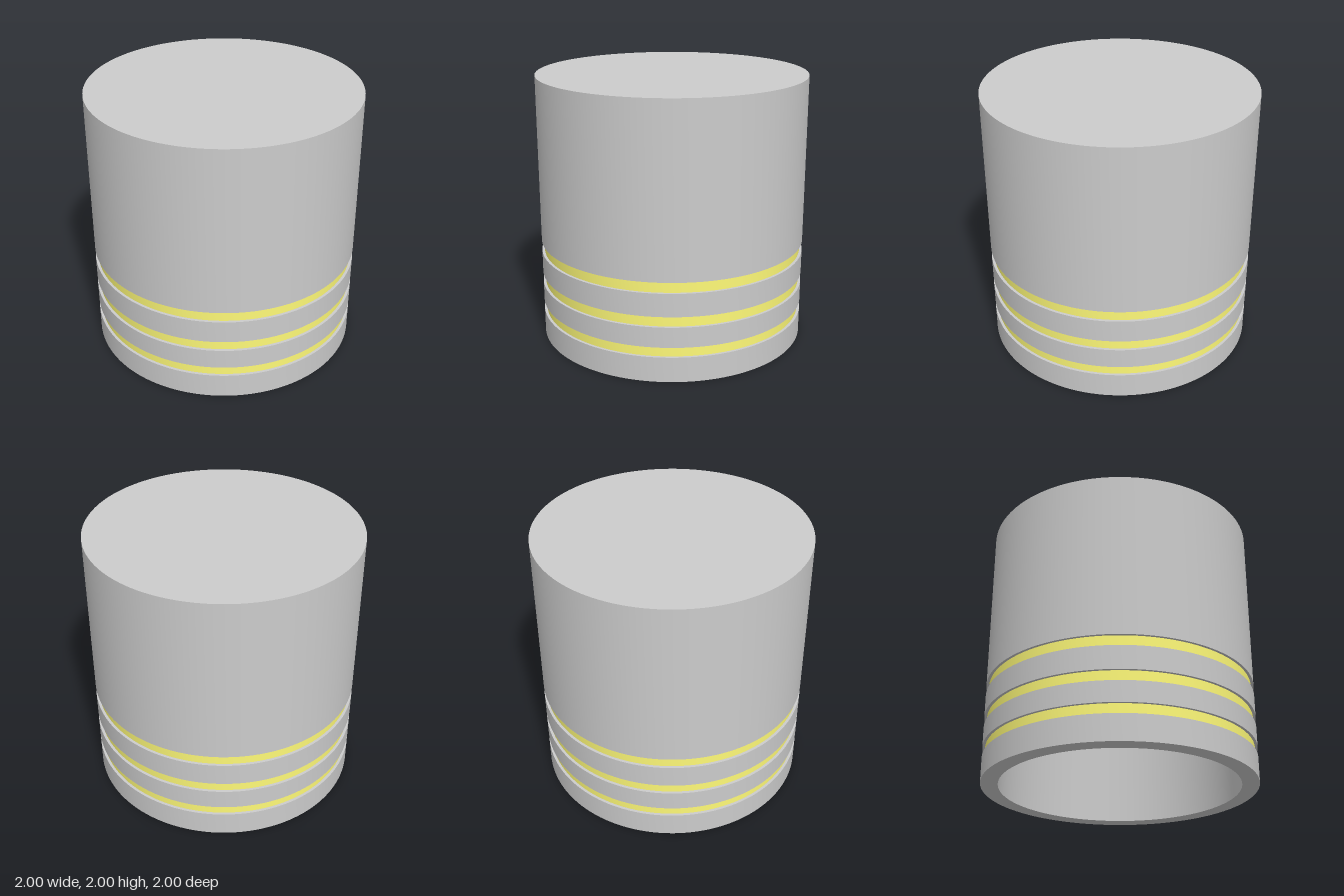
import * as THREE from 'three';
import { toCreasedNormals } from 'three/addons/utils/BufferGeometryUtils.js';

const SEGMENTS = 128;
const OUTER = 1, GROOVE = 0.98, BORE = 0.875;

export function createModel() {
  const group = new THREE.Group();
  const metal = new THREE.MeshStandardMaterial({ color: 0xcccccc });
  const yellow = new THREE.MeshStandardMaterial({ color: 0xfffa78 });

  // Revolves a profile, keeping its corners sharp
  const turn = (name, profile, material) => {
    const points = profile.map(([r, y]) => new THREE.Vector2(r, y));
    const geometry = toCreasedNormals(new THREE.LatheGeometry(points, SEGMENTS), 0.6);
    const mesh = new THREE.Mesh(geometry, material);
    mesh.name = name;
    group.add(mesh);
  };

  // Bottom and top of each ring groove
  const grooves = [[0.188, 0.263], [0.415, 0.493], [0.665, 0.745]];

  // Hollow bore, bottom rim and lowest outer wall
  turn('skirt', [
    [0, 1.85], [BORE, 1.85], [BORE, 0], [OUTER, 0],
    [OUTER, grooves[0][0]], [GROOVE, grooves[0][0]],
  ], metal);

  grooves.forEach(([bottom, top], i) => {
    // Recessed coloured ring
    turn('ring' + (i + 1), [[GROOVE, bottom], [GROOVE, top]], yellow);

    // Wall above the ring: a land, or the tall closed crown
    const next = grooves[i + 1];
    if (next) {
      turn('land' + (i + 1), [
        [GROOVE, top], [OUTER, top], [OUTER, next[0]], [GROOVE, next[0]],
      ], metal);
    } else {
      turn('crown', [[GROOVE, top], [OUTER, top], [OUTER, 2], [0, 2]], metal);
    }
  });

  return group;
}
